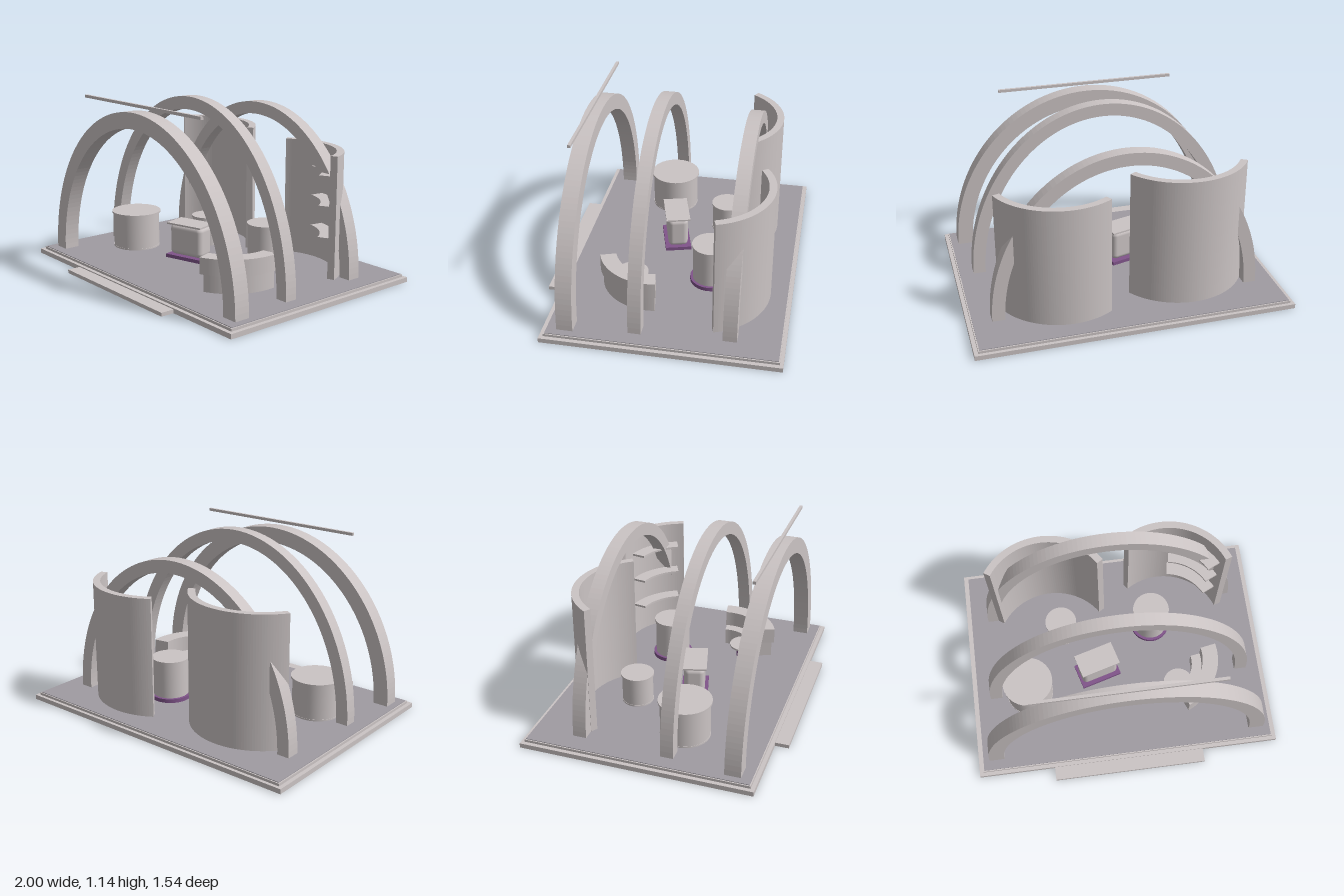
import * as THREE from 'three';
import { RoundedBoxGeometry } from 'three/addons/geometries/RoundedBoxGeometry.js';

export function createModel() {
  const model = new THREE.Group();
  const mat = (name, color) => {
    const m = new THREE.MeshStandardMaterial({ color });
    m.name = name;
    return m;
  };
  const plaster = mat('pale plaster', 0xcbc4c4);
  const carpet = mat('grey floor', 0x9f9ba2);
  const purple = mat('purple', 0x80548a);

  const add = (name, geometry, material, x, y, z, parent = model) => {
    const mesh = new THREE.Mesh(geometry, material);
    mesh.name = name;
    mesh.position.set(x, y, z);
    parent.add(mesh);
    return mesh;
  };
  // Box given by its centre in x and z and its bottom and top in y
  const slab = (name, w, d, y0, y1, material, x = 0, z = 0, parent = model) =>
    add(name, new THREE.BoxGeometry(w, y1 - y0, d), material, x, (y0 + y1) / 2, z, parent);
  const disc = (name, r, y0, y1, material, x, z) =>
    add(name, new THREE.CylinderGeometry(r, r, y1 - y0, 40), material, x, (y0 + y1) / 2, z);
  // Upright ring segment; angles in degrees, counter-clockwise seen from above
  const ringPart = (name, rIn, rOut, a0, a1, y0, y1, x, z) => {
    const s = new THREE.Shape();
    const [p, q] = [a0, a1].map(THREE.MathUtils.degToRad);
    s.absarc(0, 0, rOut, p, q, false);
    s.absarc(0, 0, rIn, q, p, true);
    s.closePath();
    const g = new THREE.ExtrudeGeometry(s, { depth: y1 - y0, bevelEnabled: false, curveSegments: 28 });
    g.rotateX(-Math.PI / 2);
    return add(name, g, plaster, x, y0, z);
  };

  // Platform, front step and floor
  slab('platform', 2, 1.455, 0, 0.03, plaster, 0, -0.043);
  slab('frontStep', 1.0, 0.09, 0, 0.023, plaster, 0, 0.725);
  slab('floorEdge', 1.95, 1.41, 0.03, 0.046, plaster, 0, -0.045);
  slab('floor', 1.935, 1.395, 0.046, 0.05, carpet, 0, -0.045);

  // Three elliptical arches
  const arch = (name, rx, top, t, z0, z1) => {
    const s = new THREE.Shape();
    const ry = top - 0.05;
    s.absellipse(0, 0, rx, ry, 0, Math.PI, false, 0);
    s.absellipse(0, 0, rx - t, ry - t, Math.PI, 0, true, 0);
    s.closePath();
    const g = new THREE.ExtrudeGeometry(s, { depth: z1 - z0, bevelEnabled: false, curveSegments: 44 });
    add(name, g, plaster, 0, 0.05, z0);
  };
  arch('frontArch', 0.925, 1.08, 0.1, 0.49, 0.59);
  arch('middleArch', 0.88, 1.14, 0.08, 0.085, 0.165);
  arch('backArch', 0.85, 1.057, 0.08, -0.485, -0.4);

  // Bar hanging above the front arch
  slab('overheadBar', 1.17, 0.018, 1.107, 1.125, plaster, 0, 0.542);

  // Curved back walls, the second with three shelves
  ringPart('rightBackWall', 0.395, 0.44, 32, 148, 0.05, 0.88, -0.405, -0.165);
  ringPart('leftBackWall', 0.39, 0.436, 18, 124, 0.05, 0.82, 0.37, -0.2);
  for (const y of [0.28, 0.48, 0.67]) {
    ringPart('wallShelf', 0.3, 0.392, 25, 81, y, y + 0.014, 0.37, -0.2);
  }

  // Round display drums with overhanging tops
  const drum = (x, z, r, top, rTop, rBase, baseTop, baseMat) => {
    disc('drumBase', rBase, 0.05, baseTop, baseMat, x, z);
    disc('drumBody', r, baseTop, top - 0.013, plaster, x, z);
    disc('drumTop', rTop, top - 0.013, top, plaster, x, z);
  };
  drum(-0.61, 0.15, 0.154, 0.295, 0.165, 0.156, 0.06, plaster);
  drum(-0.345, -0.26, 0.098, 0.246, 0.105, 0.1, 0.06, plaster);
  drum(0.27, -0.24, 0.114, 0.323, 0.121, 0.131, 0.075, purple);

  // Soft-edged square display on a purple plinth
  const display = new THREE.Group();
  display.name = 'squareDisplay';
  display.position.set(-0.135, 0, 0.055);
  display.rotation.y = 0.27;
  model.add(display);
  slab('displayPlinth', 0.275, 0.17, 0.05, 0.073, purple, 0, 0, display);
  add('displayBody', new RoundedBoxGeometry(0.25, 0.205, 0.13, 4, 0.032), plaster, 0, 0.174, 0, display);
  slab('displayTop', 0.265, 0.158, 0.276, 0.287, plaster, 0, 0, display);

  // Curved two-tier counter
  ringPart('counterLower', 0.19, 0.343, -68, 9, 0.052, 0.163, 0.315, 0.1);
  ringPart('counterUpper', 0.255, 0.358, -71, 10, 0.163, 0.266, 0.315, 0.1);

  // Low stool tucked into the counter
  disc('stoolPost', 0.054, 0.05, 0.128, purple, 0.395, 0.24);
  disc('stoolSeat', 0.1, 0.128, 0.14, plaster, 0.395, 0.24);

  return model;
}
